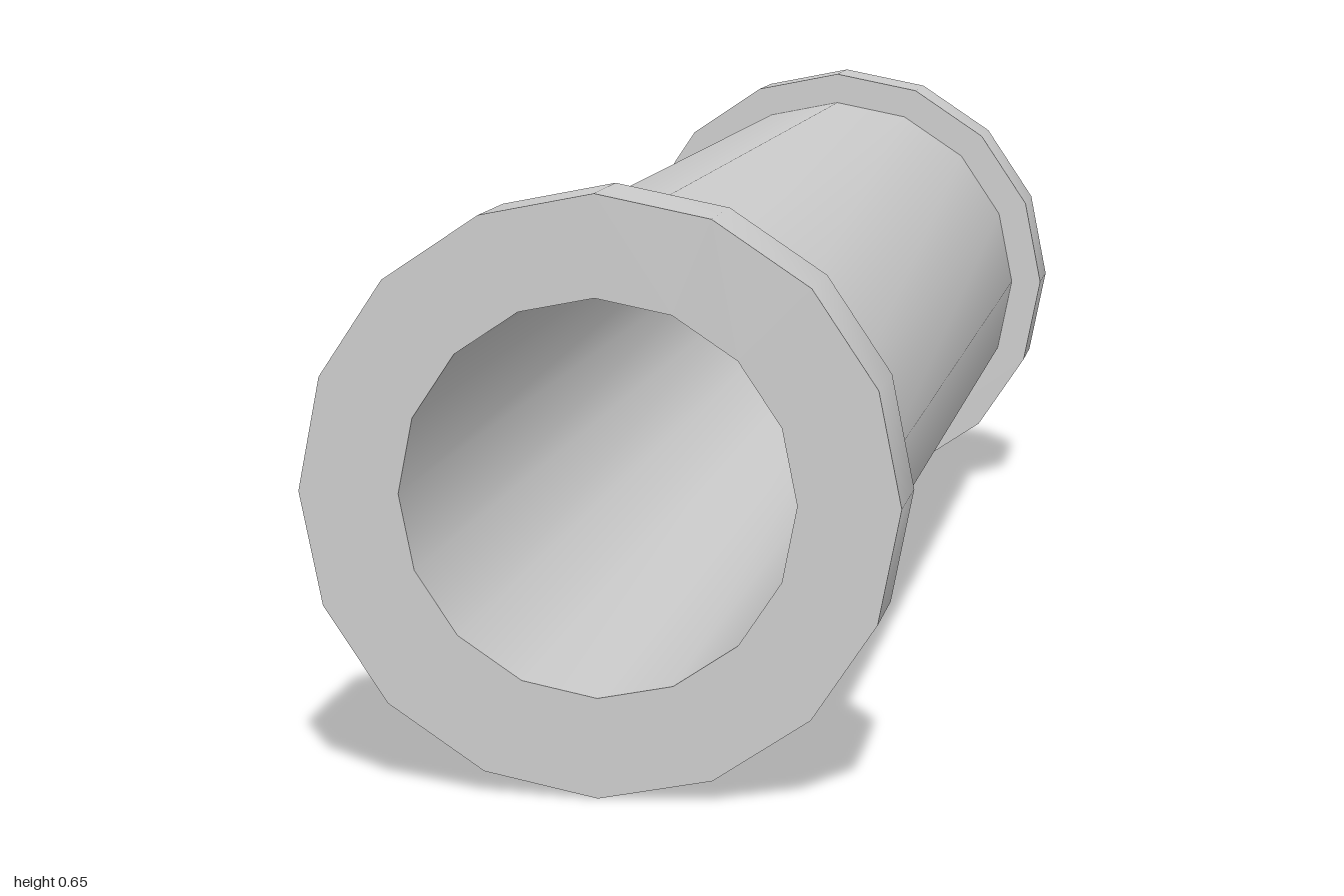
import * as THREE from 'three';
import { toCreasedNormals } from 'three/addons/utils/BufferGeometryUtils.js';

const SIDES = 16;
const RIM = 0.325, PIPE = 0.28, BORE = 0.215; // radii
const HALF = 1, COLLAR = 0.885; // half length, inner face of the collars

export function createModel() {
  const group = new THREE.Group();
  const material = new THREE.MeshStandardMaterial({ color: 0xcccccc });

  // Turns a [radius, z] profile around the z axis, with sharp rims and smooth sides
  const turned = (name, profile) => {
    const points = profile.map(([r, z]) => new THREE.Vector2(r, z));
    const lathe = new THREE.LatheGeometry(points, SIDES).rotateX(Math.PI / 2);
    const mesh = new THREE.Mesh(toCreasedNormals(lathe, Math.PI / 5), material);
    mesh.name = name;
    mesh.position.y = RIM;
    group.add(mesh);
    return mesh;
  };

  // Outer wall of the pipe and the bore running through it
  turned('pipeWall', [[PIPE, -COLLAR], [PIPE, COLLAR]]);
  turned('bore', [[BORE, HALF], [BORE, -HALF]]);

  // Raised collar at each end, closed by the ring-shaped end face
  for (const [name, angle] of [['frontCollar', 0], ['backCollar', Math.PI]]) {
    turned(name, [[PIPE, COLLAR], [RIM, COLLAR], [RIM, HALF], [BORE, HALF]]).rotation.y = angle;
  }
  return group;
}
